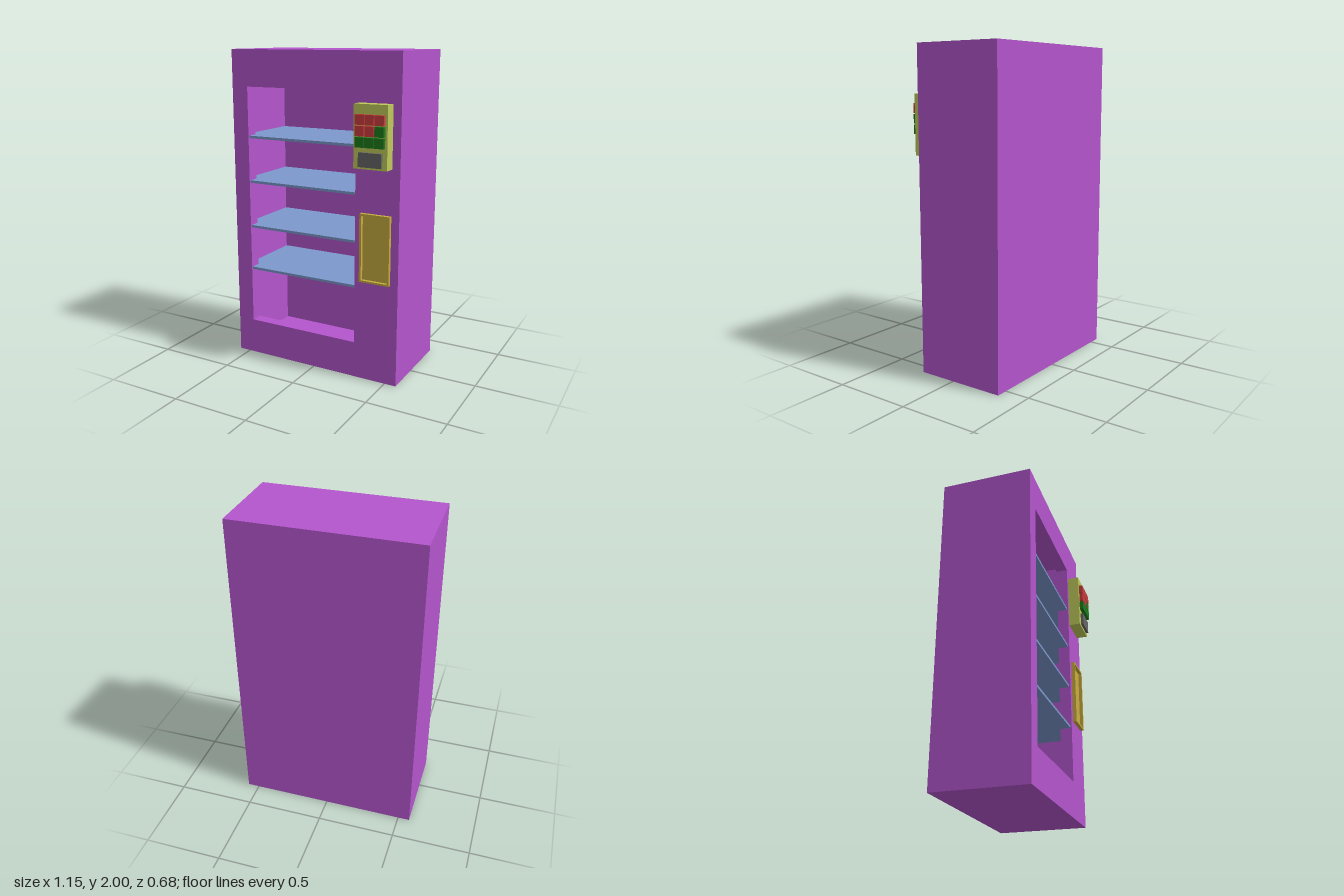
import * as THREE from 'three';

const material = (color) => new THREE.MeshStandardMaterial({ color });
const purple = material(0xb455cc);
const blue = material(0x7b98cc);
const lime = material(0xbfc95a);
const gold = material(0xc8ac40);
const red = material(0xcc3d3d);
const green = material(0x1c7a1c);
const grey = material(0x666666);

// Box given by its limits on each axis
function box(name, mat, [x0, x1], [y0, y1], [z0, z1]) {
  const mesh = new THREE.Mesh(new THREE.BoxGeometry(x1 - x0, y1 - y0, z1 - z0), mat);
  mesh.name = name;
  mesh.position.set((x0 + x1) / 2, (y0 + y1) / 2, (z0 + z1) / 2);
  return mesh;
}

function rectangle(PathType, [x0, x1], [y0, y1]) {
  return new PathType([[x0, y0], [x1, y0], [x1, y1], [x0, y1]].map(([x, y]) => new THREE.Vector2(x, y)));
}

// Rectangular ring: outer limits, opening limits, depth limits
function ring(name, mat, outerX, outerY, holeX, holeY, [z0, z1]) {
  const shape = rectangle(THREE.Shape, outerX, outerY);
  shape.holes.push(rectangle(THREE.Path, holeX, holeY));
  const mesh = new THREE.Mesh(new THREE.ExtrudeGeometry(shape, { depth: z1 - z0, bevelEnabled: false }), mat);
  mesh.name = name;
  mesh.position.z = z0;
  return mesh;
}

export function createModel() {
  const model = new THREE.Group();
  model.name = 'vendingMachine';

  // Hollow cabinet: back, four walls, and a front with an off-centre window
  const cabinet = new THREE.Group();
  cabinet.name = 'cabinet';
  const width = [-0.575, 0.575], height = [0, 2];
  cabinet.add(
    box('backWall', purple, width, height, [-0.34, -0.29]),
    ring('walls', purple, width, height, [-0.53, 0.53], [0.05, 1.95], [-0.29, 0.165]),
    ring('frontPanel', purple, width, height, [-0.465, 0.29], [0.23, 1.773], [0.165, 0.24]),
  );
  model.add(cabinet);

  // Shelves span the whole inside and reach into the window
  for (const top of [0.6, 0.884, 1.18, 1.467]) {
    model.add(box('shelf', blue, [-0.53, 0.53], [top - 0.016, top], [-0.29, 0.231]));
  }

  // Keypad with three rows of buttons and a display
  const keypad = new THREE.Group();
  keypad.name = 'keypad';
  keypad.add(box('keypadHousing', lime, [0.313, 0.525], [1.34, 1.71], [0.24, 0.314]));
  for (let i = 0; i < 9; i++) {
    const x = 0.332 + (i % 3) * 0.061;
    const y = 1.595 - Math.floor(i / 3) * 0.064;
    keypad.add(box('button', i < 5 ? red : green, [x, x + 0.057], [y, y + 0.058], [0.314, 0.338]));
  }
  keypad.add(box('display', grey, [0.35, 0.495], [1.354, 1.438], [0.314, 0.331]));
  model.add(keypad);

  // Shallow framed delivery hatch
  const hatch = new THREE.Group();
  hatch.name = 'hatch';
  hatch.add(
    ring('hatchFrame', gold, [0.33, 0.525], [0.64, 1.064], [0.343, 0.512], [0.652, 1.052], [0.24, 0.264]),
    box('hatchPanel', gold, [0.343, 0.512], [0.652, 1.052], [0.235, 0.243]),
  );
  model.add(hatch);

  return model;
}
